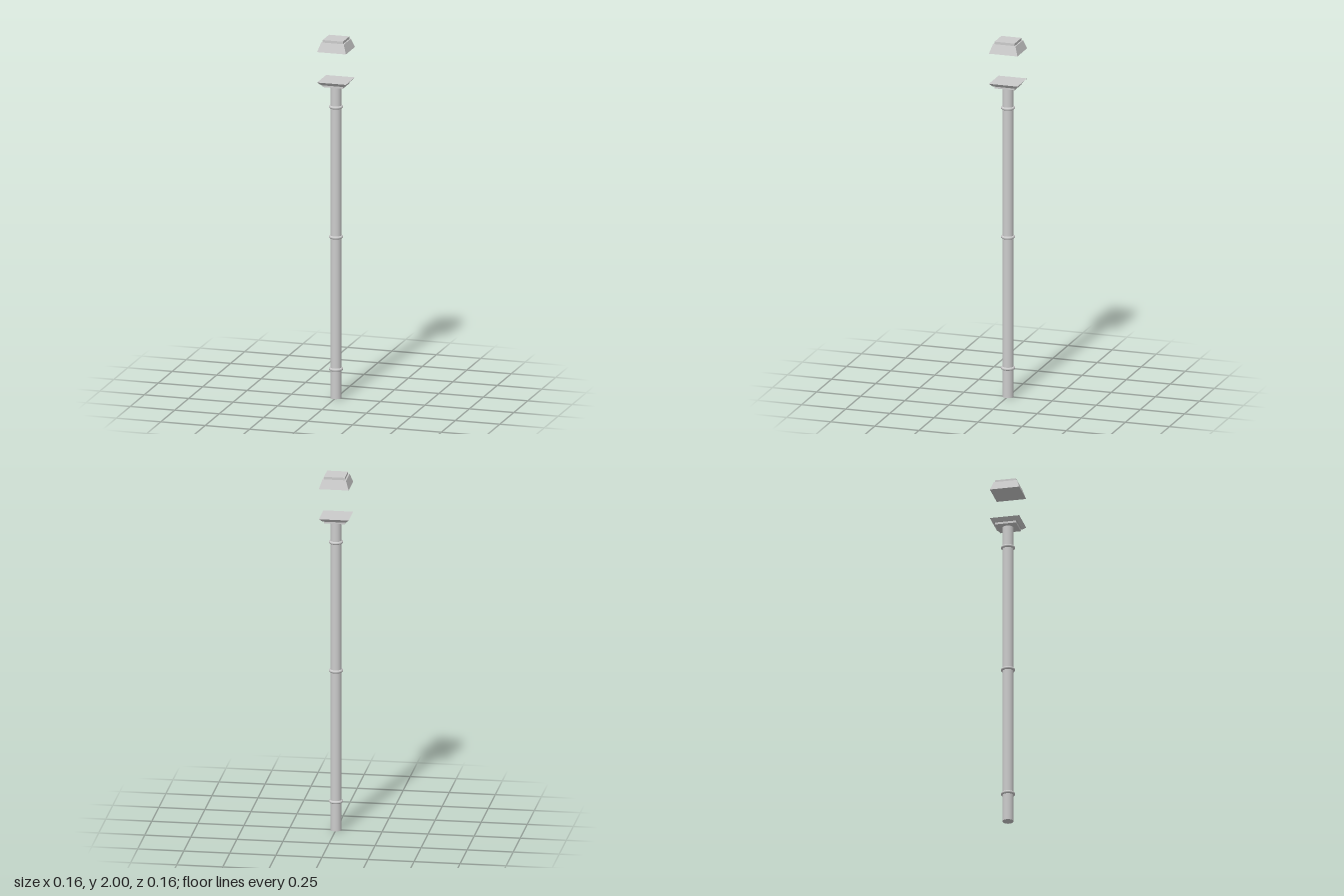
import * as THREE from 'three';

const material = new THREE.MeshStandardMaterial({ color: 0xcccccc });
const flat = new THREE.MeshStandardMaterial({ color: 0xcccccc, flatShading: true });

// Square frustum between two heights, given half widths at each end
function frustum(name, y0, half0, y1, half1) {
  const geometry = new THREE.CylinderGeometry(half1 * Math.SQRT2, half0 * Math.SQRT2, y1 - y0, 4);
  geometry.rotateY(Math.PI / 4);
  const mesh = new THREE.Mesh(geometry, flat);
  mesh.name = name;
  mesh.position.y = (y0 + y1) / 2;
  return mesh;
}

export function createModel() {
  const group = new THREE.Group();
  group.name = 'lampPost';

  // Round pole
  const pole = new THREE.Mesh(new THREE.CylinderGeometry(0.03, 0.03, 1.74, 24), material);
  pole.name = 'pole';
  pole.position.y = 0.87;
  group.add(pole);

  // Rounded collars along the pole
  for (const y of [0.162, 0.897, 1.62]) {
    const collar = new THREE.Mesh(new THREE.TorusGeometry(0.03, 0.0085, 10, 24), material);
    collar.name = 'collar';
    collar.rotation.x = Math.PI / 2;
    collar.position.y = y;
    group.add(collar);
  }

  // Flared tray with a stepped underside
  group.add(
    frustum('trayStep', 1.738, 0.057, 1.75, 0.057),
    frustum('tray', 1.75, 0.064, 1.768, 0.081),
  );

  // Floating cap with a stepped top
  group.add(
    frustum('cap', 1.937, 0.081, 1.986, 0.064),
    frustum('capStep', 1.986, 0.057, 2, 0.057),
  );
  return group;
}
